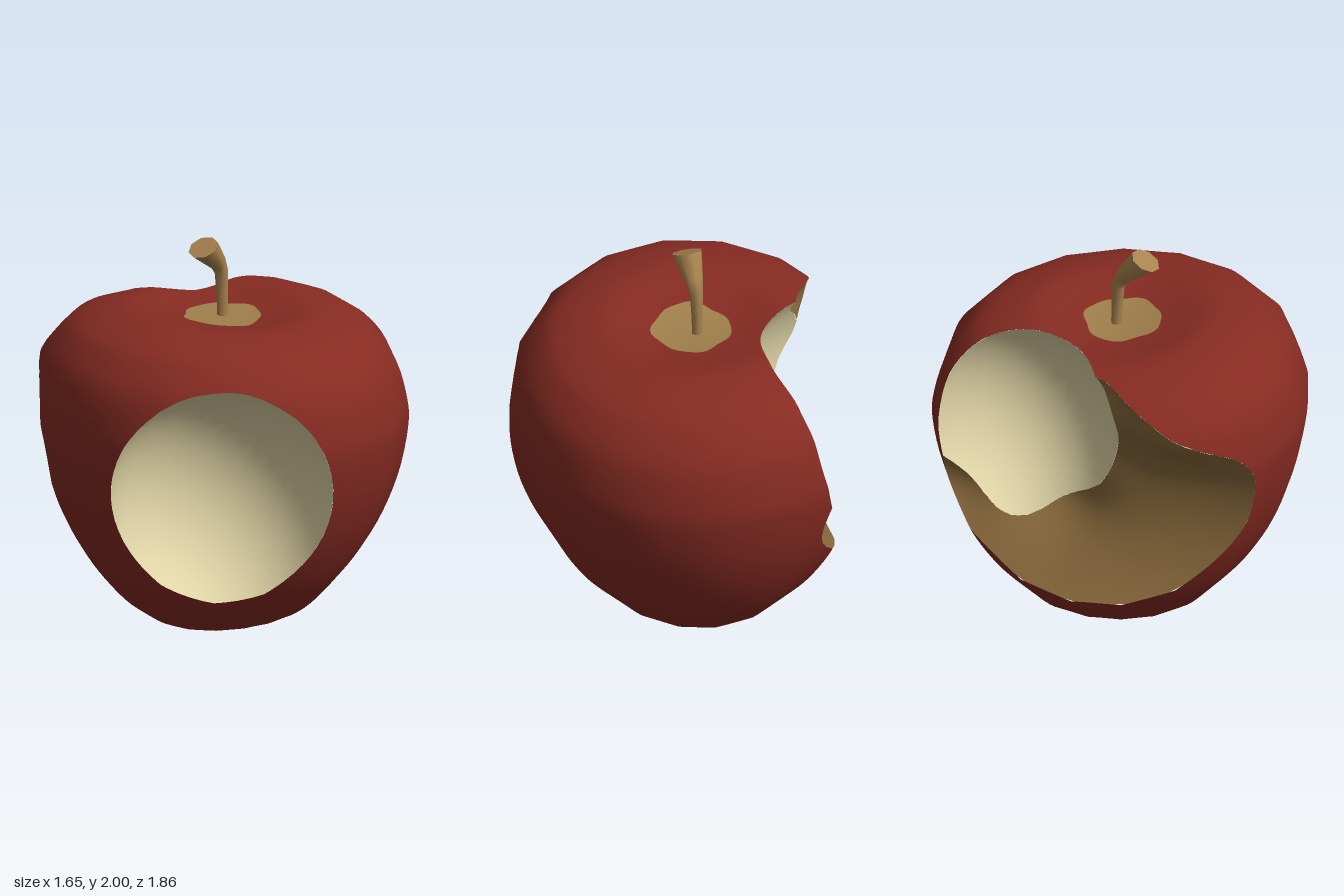
import * as THREE from 'three';

const AXIS_X = -0.1, MID_Y = 0.85, TILT = 0.045;

const mat = (name, color) => {
  const m = new THREE.MeshStandardMaterial({ color });
  m.name = name;
  return m;
};

// Half outline of the apple (radius, height), from the stem dimple to the base dimple
const outline = new THREE.SplineCurve([
  [0, 1.575], [0.12, 1.582], [0.25, 1.602], [0.42, 1.638], [0.55, 1.625], [0.68, 1.585],
  [0.77, 1.525], [0.875, 1.39], [0.93, 1.19], [0.935, 1.04], [0.89, 0.8], [0.805, 0.57],
  [0.7, 0.38], [0.6, 0.24], [0.47, 0.1], [0.34, 0.022], [0.22, 0.018], [0.1, 0.028], [0, 0.032],
].map(([r, y]) => new THREE.Vector2(r, y))).getPoints(64);
outline.forEach((p) => { p.x = Math.max(0, p.x); });
const polar = outline.map((p) => ({
  a: Math.atan2(p.y - MID_Y, p.x), d: Math.hypot(p.x, p.y - MID_Y),
}));

// The apple has sixteen broad sides, and is a little flatter to its left and right
const SIDES = 16, STEP = (2 * Math.PI) / SIDES, TURN = THREE.MathUtils.degToRad(15);
function sideScale(x, z) {
  const a = Math.atan2(x, z) - TURN;
  return Math.cos(STEP / 2) / Math.cos(a - Math.floor(a / STEP) * STEP - STEP / 2);
}
const flatten = (x, z) => 1 - (0.04 * x * x) / (x * x + z * z + 0.05);

// Signed fields: negative inside the shape
function roundBody(p, scale = 1) {
  const x = p.x - AXIS_X;
  const r = Math.hypot(x, p.z) / scale;
  const y = (p.y - TILT * p.z - MID_Y) / flatten(x, p.z);
  const a = Math.atan2(y, r);
  let i = 1;
  while (i < polar.length - 1 && polar[i].a > a) i++;
  const A = polar[i - 1], B = polar[i];
  const t = (a - A.a) / (B.a - A.a || 1);
  return Math.hypot(r, y) - (A.d + (B.d - A.d) * t);
}
const body = (p) => roundBody(p, sideScale(p.x - AXIS_X, p.z));

// Unevenness of the browned bite: depth, height, z, spread in z, spread in height
const dents = [
  [0.14, 0.77, -0.24, 0.07, 0.045], [0.11, 0.74, -0.75, 0.06, 0.05],
  [0.25, 1.6, 0, 0.04, 0.03], [-0.13, 1.36, 0.48, 0.08, 0.03], [0.04, 1.15, 0.08, 0.04, 0.05],
];
const rough = (y, z) => dents.reduce((sum, [d, y0, z0, w, h]) =>
  sum + d * Math.exp(-((y - y0) ** 2) / h - ((z - z0) ** 2) / w), 0.06 * Math.max(0, z));
const noRough = () => 0;
const bite = (center, radii, bump = noRough) => ({
  center, radii, bump,
  field: (p) => (Math.hypot(
    (p.x - bump(p.y, p.z) - center[0]) / radii[0],
    (p.y - center[1]) / radii[1],
    (p.z - center[2]) / radii[2]) - 1) * radii[0],
});
const frontBite = bite([0.455, 0.845, 0.64], [0.57, 0.62, 0.57]);
const backBite = bite([-0.835, 1.2, -0.38], [0.65, 0.65, 0.54]);
const sideBite = bite([-1.52, 0.88, 0], [0.96, 0.96, 3.5], rough);

// Irregular patches round the stem and the base, positive inside
const stemPatch = (p) => {
  const x = p.x + 0.08, t = Math.atan2(p.z, x);
  return p.y < MID_Y ? -1 : 0.193 + 0.008 * Math.sin(4 * t + 0.6) + 0.005 * Math.sin(7 * t) - Math.hypot(x, p.z);
};
const basePatch = (p) => (p.y > MID_Y ? -1 : 0.09 - Math.hypot(p.x + 0.05, p.z - 0.04));

// Cuts a polygon, keeping the side where f is positive
function clip(poly, f) {
  const out = [], v = poly.map(f);
  poly.forEach((p, i) => {
    const j = (i + 1) % poly.length;
    if (v[i] >= 0) out.push(p);
    if ((v[i] >= 0) !== (v[j] >= 0)) out.push(p.clone().lerp(poly[j], v[i] / (v[i] - v[j])));
  });
  return out;
}

// Surface direction from the slope of a field
function slope(f, p, sign) {
  const e = 0.012, n = new THREE.Vector3();
  for (const k of ['x', 'y', 'z']) {
    const a = p.clone(), b = p.clone();
    a[k] += e;
    b[k] -= e;
    n[k] = f(a) - f(b);
  }
  return n.normalize().multiplyScalar(sign);
}

// Trims a geometry by a list of fields and gives it smooth normals from its own field
function trimmed(geometry, keep, field, sign) {
  const src = geometry.toNonIndexed().attributes.position;
  const pos = [], nor = [];
  for (let i = 0; i < src.count; i += 3) {
    let poly = [0, 1, 2].map((k) => new THREE.Vector3().fromBufferAttribute(src, i + k));
    for (const f of keep) if (poly.length) poly = clip(poly, f);
    for (let k = 1; k + 1 < poly.length; k++) {
      const tri = [poly[0], poly[k], poly[k + 1]];
      const face = tri[1].clone().sub(tri[0]).cross(tri[2].clone().sub(tri[0]));
      if (face.length() < 1e-9) continue;
      const mid = tri[0].clone().add(tri[1]).add(tri[2]).divideScalar(3);
      if (face.dot(slope(field, mid, sign)) < 0) tri.reverse();
      for (const p of tri) {
        pos.push(p.x, p.y, p.z);
        nor.push(...slope(field, p, sign).toArray());
      }
    }
  }
  const g = new THREE.BufferGeometry();
  g.setAttribute('position', new THREE.Float32BufferAttribute(pos, 3));
  g.setAttribute('normal', new THREE.Float32BufferAttribute(nor, 3));
  return g;
}

// Hollow left by a bite: the part of its ball that lies within the apple
function hollow(b, ball, others = []) {
  ball.scale(...b.radii).translate(...b.center);
  const p = ball.attributes.position;
  for (let i = 0; i < p.count; i++) p.setX(i, p.getX(i) + b.bump(p.getY(i), p.getZ(i)));
  return trimmed(ball, [(q) => -body(q), ...others.map((o) => o.field)], b.field, -1);
}

export function createModel() {
  const group = new THREE.Group();
  const red = mat('red skin', 0x862b22);
  const cream = mat('cream flesh', 0xe0d4a6);
  const brown = mat('browned flesh', 0x8a6a3c);
  const tan = mat('tan patch', 0xa0804c);
  const olive = mat('olive base', 0x80743f);
  const wood = mat('stem wood', 0xa8834f);
  const add = (name, geometry, material) => {
    const mesh = new THREE.Mesh(geometry, material);
    mesh.name = name;
    group.add(mesh);
  };

  // Skin, opened where the bites are
  const shell = new THREE.LatheGeometry(outline, SIDES * 4, TURN);
  const sp = shell.attributes.position;
  for (let i = 0; i < sp.count; i++) {
    const s = sideScale(sp.getX(i), sp.getZ(i));
    const x = sp.getX(i) * s, z = sp.getZ(i) * s;
    sp.setXYZ(i, x + AXIS_X, MID_Y + (sp.getY(i) - MID_Y) * flatten(x, z) + TILT * z, z);
  }
  const bites = [frontBite, backBite, sideBite].map((b) => b.field);
  const outward = (p) => roundBody(p);
  add('skin', trimmed(shell, [...bites, (p) => -stemPatch(p), (p) => -basePatch(p)], outward, 1), red);
  add('stemPatch', trimmed(shell, [stemPatch], outward, 1), tan);
  add('basePatch', trimmed(shell, [basePatch], outward, 1), olive);

  // Bite hollows
  add('frontBite', hollow(frontBite, new THREE.SphereGeometry(1, 48, 32)), cream);
  add('backBite', hollow(backBite, new THREE.SphereGeometry(1, 48, 32), [sideBite]), cream);
  add('sideBite', hollow(sideBite, new THREE.SphereGeometry(1, 32, 80, Math.PI - 0.35, 0.7), [backBite]), brown);

  // Stem: a bent rod that flares to a slanted end; each ring is height, z, radius, lean
  const rings = [
    [1.5, -0.028, 0.028, 0], [1.65, -0.025, 0.028, 0.04], [1.8, -0.018, 0.034, 0.35],
    [1.86, 0.01, 0.045, 0.95], [1.965, 0.122, 0.077, 0.48],
  ];
  const stem = new THREE.CylinderGeometry(1, 1, 1, 8, rings.length - 1);
  const tp = stem.attributes.position;
  for (let i = 0; i < tp.count; i++) {
    const [y, z, r, lean] = rings[Math.round((tp.getY(i) + 0.5) * (rings.length - 1))];
    const d = tp.getZ(i) * r;
    tp.setXYZ(i, AXIS_X + tp.getX(i) * r, y - d * Math.sin(lean), z + d * Math.cos(lean));
  }
  stem.computeVertexNormals();
  add('stem', stem, wood);

  return group;
}
